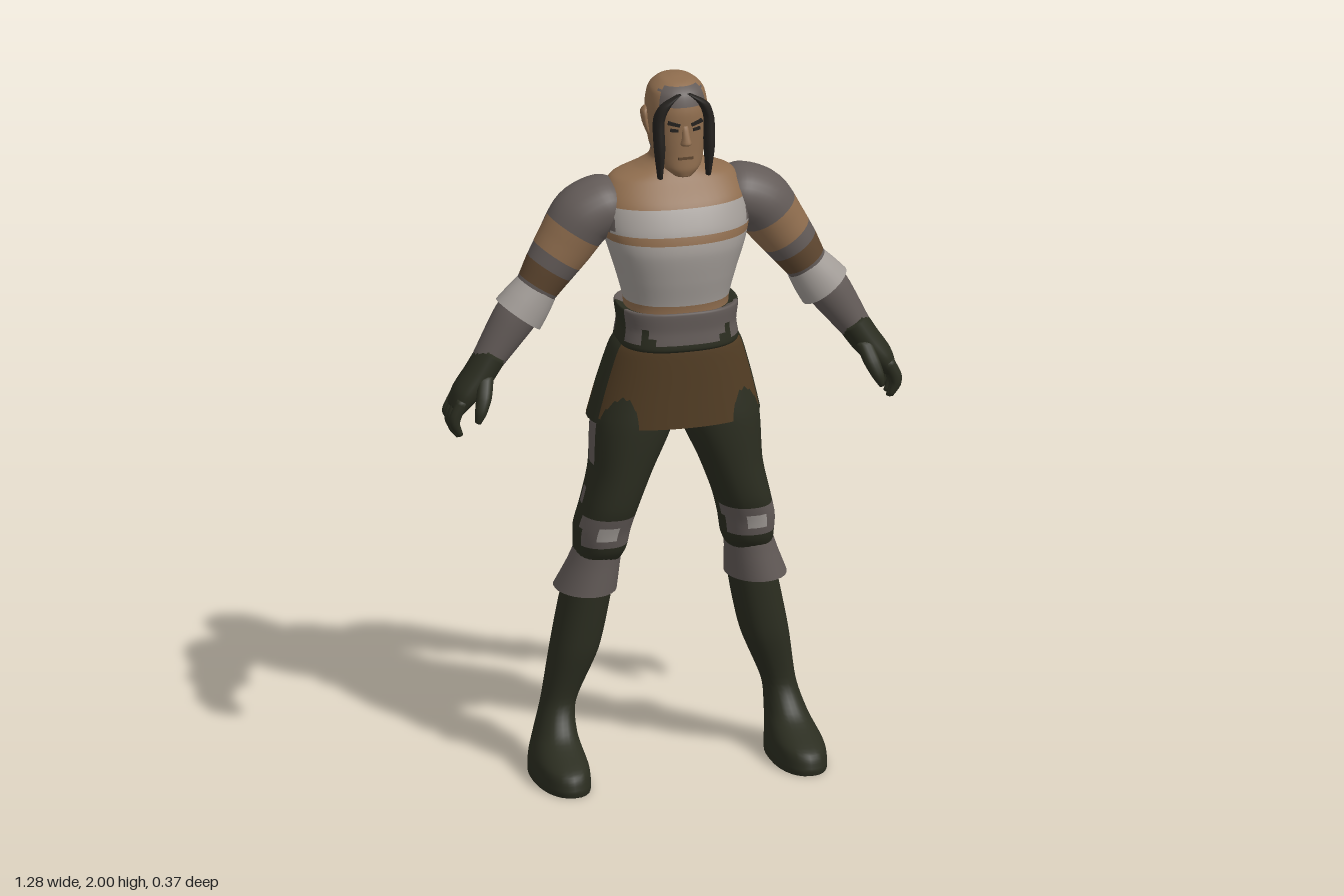
import * as THREE from 'three';

const hex = {
  skin: 0x8f6d4e, lightCloth: 0xa39d98, greyCloth: 0x635b58, skirtBrown: 0x523d24,
  darkLeather: 0x2b2d20, hair: 0x24211e, strapBrown: 0x5f4730,
};
const M = {};
function makeMaterials() {
  for (const k in hex) {
    M[k] = new THREE.MeshStandardMaterial({ color: hex[k] });
    M[k].name = k;
  }
  M.openGrey = M.greyCloth.clone();
  M.openLight = M.lightCloth.clone();
  M.openBrown = M.skirtBrown.clone();
  M.openDark = M.darkLeather.clone();
  for (const k of ['openGrey', 'openLight', 'openBrown', 'openDark']) {
    M[k].side = THREE.DoubleSide;
    M[k].name = k;
  }
}

// Smooth skin through cross-sections [x, y, z, halfWidth, halfDepth], listed from top to bottom.
// paint(x, y, z) names the colour of each face.
function loft(name, rings, paint, { side = 1, sides = 28, sub = 6, e = 1, follow = false, open = false } = {}) {
  const V = (a, b, c) => new THREE.Vector3(a, b, c);
  const centre = new THREE.CatmullRomCurve3(rings.map(r => V(r[0], r[1], r[2])), false, 'catmullrom', 0.4);
  const size = new THREE.CatmullRomCurve3(rings.map(r => V(r[3], r[4], 0)), false, 'catmullrom', 0.4);
  const steps = (rings.length - 1) * sub, pos = [], buckets = {};
  const pw = v => Math.sign(v) * Math.abs(v) ** e;
  for (let i = 0; i <= steps; i++) {
    const c = centre.getPoint(i / steps), s = size.getPoint(i / steps);
    const t = centre.getTangent(i / steps);
    const l = Math.hypot(t.x, t.y) || 1;
    const u = follow ? [-t.y / l, t.x / l] : [1, 0];
    for (let j = 0; j < sides; j++) {
      const a = j / sides * Math.PI * 2, w = s.x * pw(Math.cos(a));
      pos.push(side * (c.x + u[0] * w), c.y + u[1] * w, c.z + s.y * pw(Math.sin(a)));
    }
  }
  const tri = (a, b, c, key) => (buckets[key] ??= []).push(...(side > 0 ? [a, b, c] : [a, c, b]));
  const colourAt = ids => {
    const m = [0, 0, 0];
    ids.forEach(id => m.forEach((_, k) => { m[k] += pos[id * 3 + k] / ids.length; }));
    return typeof paint === 'string' ? paint : paint(...m);
  };
  for (let i = 0; i < steps; i++) for (let j = 0; j < sides; j++) {
    const k = (j + 1) % sides, a = i * sides + j, b = i * sides + k, c = a + sides, d = b + sides;
    const key = colourAt([a, b, c, d]);
    tri(a, b, c, key);
    tri(b, d, c, key);
  }
  if (!open) for (const i of [0, steps]) {
    const r = rings[i ? rings.length - 1 : 0], n = pos.length / 3;
    pos.push(side * r[0], r[1], r[2]);
    for (let j = 0; j < sides; j++) {
      const a = i * sides + j, b = i * sides + (j + 1) % sides, key = colourAt([a, b, n]);
      if (i) tri(a, b, n, key); else tri(b, a, n, key);
    }
  }
  const g = new THREE.BufferGeometry(), index = [], mats = [];
  g.setAttribute('position', new THREE.Float32BufferAttribute(pos, 3));
  for (const key in buckets) {
    g.addGroup(index.length, buckets[key].length, mats.length);
    for (const id of buckets[key]) index.push(id);
    mats.push(M[key]);
  }
  g.setIndex(index);
  g.computeVertexNormals();
  const mesh = new THREE.Mesh(g, mats.length > 1 ? mats : mats[0]);
  mesh.name = name;
  return mesh;
}

function plate(name, mat, w, h, d, x, y, z, rz = 0, ry = 0) {
  const m = new THREE.Mesh(new THREE.BoxGeometry(w, h, d), M[mat]);
  m.name = name;
  m.position.set(x, y, z);
  m.rotation.set(0, ry, rz);
  return m;
}

function torsoPaint(x, y, z) {
  const ax = Math.abs(x);
  if (z < -0.06) { // back: striped shirt with a small grey mark
    const h = y - ax * 0.12;
    if (h > 1.625) return 'skin';
    if (h > 1.575) return 'lightCloth';
    if (h > 1.545) return 'strapBrown';
    if (y > 1.46 && ax < (1.55 - y) * 0.45) return 'greyCloth';
    return y > 1.37 ? 'lightCloth' : 'strapBrown';
  }
  if (y > 1.64) return 'skin';
  if (y > 1.575) return ax > 0.19 ? 'greyCloth' : 'lightCloth';
  if (y > 1.553) return 'skin';
  return y > 1.37 ? 'lightCloth' : 'skin';
}

function beltPaint(x, y, z) {
  const ax = Math.abs(x);
  if (y < 1.268) return 'darkLeather';
  if (z < -0.05) return ax > 0.04 && ax < 0.11 && y < 1.32 ? 'strapBrown' : 'greyCloth';
  if (z < 0.06 && z > -0.02) return 'darkLeather';
  return ax > 0.07 && ax < 0.13 && y < 1.25 + (ax - 0.07) * 1.2 ? 'darkLeather' : 'greyCloth';
}

function armPaint(x, y, z) {
  const d = Math.abs(x) * 0.55 - y * 0.83; // distance down the arm
  if (d < -1.15) return 'greyCloth';
  if (d < -1.06) return z < -0.075 ? 'greyCloth' : 'skin';
  if (d < -1.02) return z < -0.06 ? 'lightCloth' : 'greyCloth';
  return d < -0.97 ? 'strapBrown' : 'greyCloth';
}

function legPaint(x, y, z) {
  const ax = Math.abs(x);
  if (y > 0.67 && y < 0.76 && z > 0.02) return y > 0.69 && y < 0.735 && ax > 0.18 && ax < 0.235 ? 'lightCloth' : 'greyCloth';
  if (y > 0.9 && y < 1.02 && z > -0.04 && z < 0.03 && ax > 0.18) return 'greyCloth';
  if (y > 0.78 && y < 0.83 && z > -0.03 && z < 0 && ax > 0.2) return 'greyCloth';
  return 'darkLeather';
}

function headPaint(x, y, z) {
  if (z > 0.045 && y > 1.935 && y < 1.985 && Math.abs(x) < 0.06) return 'greyCloth';
  if (z < 0 && y > 1.775 && y < 1.805) return 'greyCloth';
  return 'skin';
}

export function createModel() {
  makeMaterials();
  const model = new THREE.Group();
  model.name = 'warrior';

  // Torso and neck
  model.add(loft('torso', [
    [0, 1.8, -0.035, 0.055, 0.055], [0, 1.755, -0.045, 0.062, 0.06], [0, 1.73, -0.05, 0.1, 0.075],
    [0, 1.705, -0.045, 0.17, 0.09], [0, 1.65, -0.025, 0.2, 0.118], [0, 1.58, -0.01, 0.205, 0.138],
    [0, 1.52, 0, 0.19, 0.14], [0, 1.44, 0, 0.165, 0.13], [0, 1.36, 0, 0.145, 0.115], [0, 1.28, 0, 0.145, 0.115],
  ], torsoPaint, { sides: 40, sub: 8, e: 0.9 }));

  // Belt and skirt
  model.add(loft('belt', [
    [0, 1.345, 0.003, 0.14, 0.11], [0, 1.353, 0.003, 0.167, 0.132], [0, 1.3, 0.003, 0.162, 0.132],
    [0, 1.25, 0.003, 0.168, 0.136], [0, 1.238, 0.003, 0.15, 0.12],
  ], beltPaint, { sides: 40, e: 0.78 }));
  model.add(loft('skirt', [
    [0, 1.27, 0, 0.155, 0.122], [0, 1.23, -0.005, 0.182, 0.132], [0, 1.12, -0.018, 0.215, 0.146], [0, 1.02, -0.028, 0.24, 0.157],
  ], (x, y, z) => Math.abs(z + 0.01) < 0.05 && Math.abs(x) > 0.1 ? 'openDark' : 'openBrown', { sides: 40, e: 0.88, open: true }));

  // Head and face
  const head = new THREE.Group();
  head.name = 'head';
  model.add(head);
  head.add(loft('skull', [
    [0, 2.0, -0.002, 0.012, 0.014], [0, 1.993, 0, 0.045, 0.055], [0, 1.968, 0.003, 0.073, 0.086],
    [0, 1.92, 0.004, 0.083, 0.1], [0, 1.86, 0.003, 0.08, 0.102], [0, 1.8, 0.01, 0.071, 0.096],
    [0, 1.76, 0.045, 0.054, 0.063], [0, 1.737, 0.07, 0.026, 0.032],
  ], headPaint, { e: 0.9 }));
  head.add(loft('nose', [
    [0, 1.885, 0.1, 0.008, 0.006], [0, 1.85, 0.108, 0.012, 0.016], [0, 1.836, 0.108, 0.016, 0.02], [0, 1.828, 0.102, 0.01, 0.008],
  ], 'skin', { sides: 10, sub: 3 }));
  head.add(plate('mouth', 'strapBrown', 0.042, 0.007, 0.008, 0, 1.793, 0.105));

  for (const s of [1, -1]) {
    const tag = s > 0 ? 'left' : 'right';
    head.add(plate(tag + 'Brow', 'hair', 0.034, 0.009, 0.009, s * 0.032, 1.892, 0.1, s * 0.25, s * 0.2));
    head.add(plate(tag + 'Eye', 'hair', 0.022, 0.008, 0.008, s * 0.031, 1.874, 0.1, s * 0.1, s * 0.2));
    head.add(loft(tag + 'Ear', [
      [0.082, 1.915, -0.008, 0.005, 0.008], [0.088, 1.9, -0.006, 0.009, 0.02], [0.086, 1.87, 0, 0.008, 0.017], [0.078, 1.84, 0.006, 0.005, 0.008],
    ], 'skin', { side: s, sides: 12, sub: 3 }));
    head.add(loft(tag + 'HairStrand', [
      [0.015, 1.972, 0.09, 0.006, 0.01], [0.052, 1.945, 0.09, 0.015, 0.018], [0.07, 1.9, 0.082, 0.015, 0.026],
      [0.07, 1.82, 0.09, 0.015, 0.024], [0.068, 1.735, 0.088, 0.007, 0.012],
    ], 'hair', { side: s, sides: 12, sub: 4 }));

    // Arm with flared cuff
    const arm = new THREE.Group();
    arm.name = tag + 'Arm';
    model.add(arm);
    arm.add(loft('armSleeve', [
      [0.15, 1.635, -0.05, 0.06, 0.08], [0.19, 1.627, -0.05, 0.082, 0.095], [0.25, 1.595, -0.05, 0.087, 0.095],
      [0.3, 1.525, -0.047, 0.08, 0.08], [0.345, 1.46, -0.045, 0.07, 0.068], [0.39, 1.39, -0.045, 0.058, 0.055],
      [0.445, 1.32, -0.045, 0.06, 0.055], [0.525, 1.2, -0.043, 0.042, 0.046],
    ], armPaint, { side: s, follow: true }));
    arm.add(loft('armCuff', [
      [0.378, 1.405, -0.045, 0.06, 0.057], [0.405, 1.368, -0.045, 0.069, 0.062], [0.432, 1.332, -0.045, 0.075, 0.066],
    ], 'openLight', { side: s, follow: true, open: true }));

    // Gloved hand: palm, four curled fingers and thumb
    arm.add(loft('palm', [
      [0.505, 1.23, -0.043, 0.044, 0.049], [0.545, 1.17, -0.04, 0.042, 0.052], [0.585, 1.12, -0.038, 0.036, 0.054], [0.61, 1.08, -0.038, 0.022, 0.048],
    ], 'darkLeather', { side: s, follow: true, sides: 20 }));
    for (let f = 0; f < 4; f++) {
      const z = -0.074 + f * 0.025, drop = [0.02, 0.005, 0, 0.01][f];
      arm.add(loft('finger', [
        [0.6, 1.11, z, 0.017, 0.014], [0.62, 1.07, z, 0.017, 0.014], [0.622, 1.035 + drop, z, 0.014, 0.013], [0.606, 1.003 + drop, z, 0.007, 0.007],
      ], 'darkLeather', { side: s, follow: true, sides: 10, sub: 4 }));
    }
    arm.add(loft('thumb', [
      [0.53, 1.18, -0.015, 0.022, 0.022], [0.545, 1.13, 0.02, 0.022, 0.024], [0.56, 1.09, 0.04, 0.017, 0.018], [0.57, 1.06, 0.046, 0.008, 0.009],
    ], 'darkLeather', { side: s, follow: true, sides: 12, sub: 4 }));

    // Leg and boot
    const leg = new THREE.Group();
    leg.name = tag + 'Leg';
    model.add(leg);
    leg.add(loft('legAndBoot', [
      [0.1, 1.14, -0.01, 0.095, 0.11], [0.12, 1.02, -0.01, 0.112, 0.12], [0.155, 0.88, -0.005, 0.085, 0.11],
      [0.185, 0.78, -0.007, 0.077, 0.104], [0.203, 0.71, -0.018, 0.076, 0.095], [0.208, 0.65, -0.027, 0.07, 0.087],
      [0.22, 0.59, -0.045, 0.058, 0.068], [0.237, 0.5, -0.065, 0.066, 0.083], [0.268, 0.35, -0.067, 0.065, 0.076],
      [0.31, 0.2, -0.075, 0.046, 0.06], [0.325, 0.115, -0.05, 0.056, 0.088], [0.332, 0.06, 0.008, 0.07, 0.153],
      [0.333, 0.02, 0.017, 0.074, 0.166], [0.333, 0, 0.017, 0.073, 0.165],
    ], legPaint, { side: s, e: 0.88 }));
    leg.add(loft('bootCuff', [
      [0.21, 0.655, -0.027, 0.064, 0.076], [0.222, 0.6, -0.038, 0.072, 0.086], [0.24, 0.525, -0.057, 0.085, 0.107],
    ], 'openGrey', { side: s, open: true }));
  }
  return model;
}
